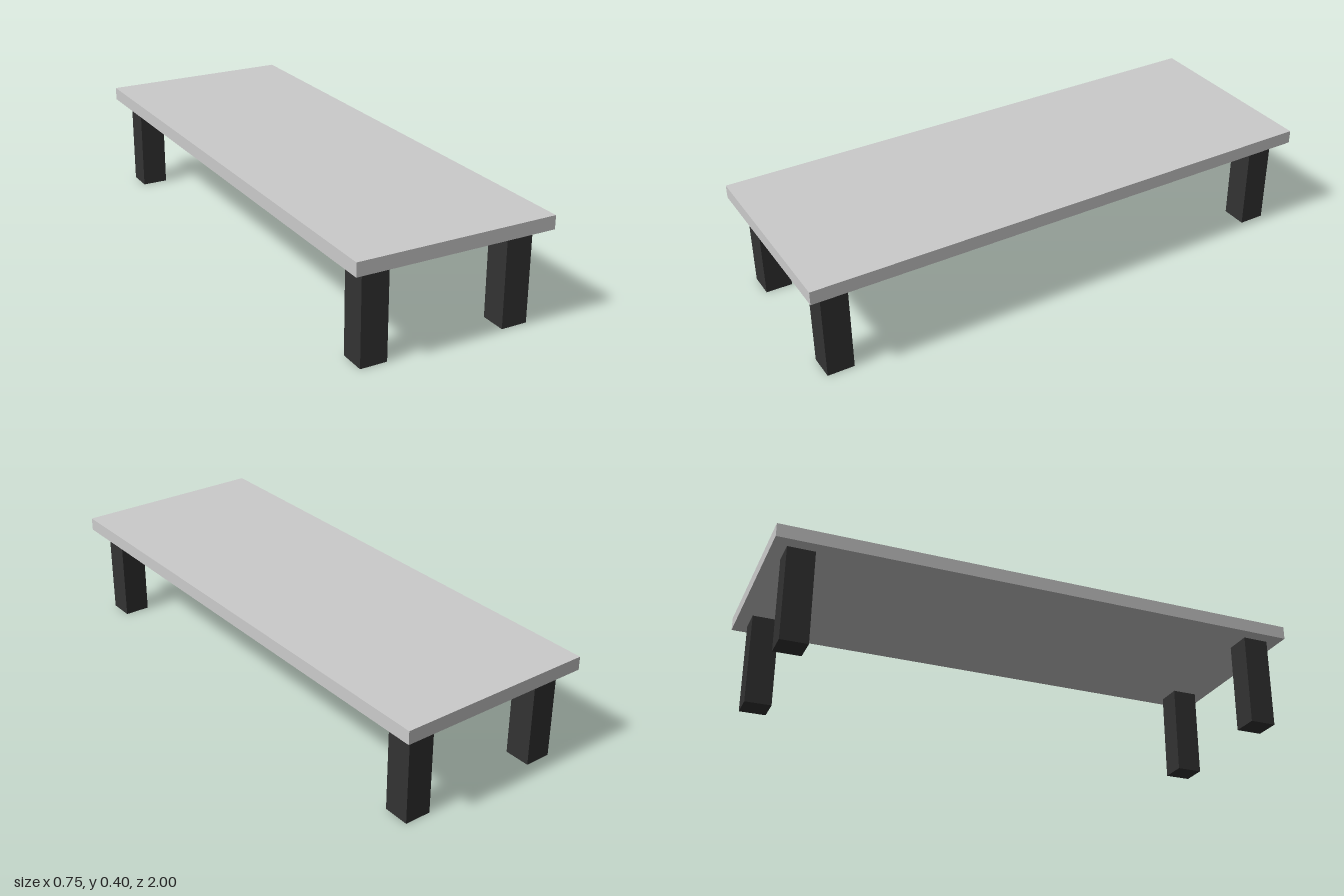
import * as THREE from 'three';

const WIDTH = 0.75, LENGTH = 2, HEIGHT = 0.4;
const THICKNESS = 0.05, LEG = 0.1, INSET = 0.05;

export function createModel() {
  const table = new THREE.Group();
  table.name = 'table';

  const topMaterial = new THREE.MeshStandardMaterial({ color: 0xcccccc });
  const legMaterial = new THREE.MeshStandardMaterial({ color: 0x333333 });

  // Flat slab top
  const top = new THREE.Mesh(new THREE.BoxGeometry(WIDTH, THICKNESS, LENGTH), topMaterial);
  top.name = 'tableTop';
  top.position.y = HEIGHT - THICKNESS / 2;
  table.add(top);

  // Four square legs, set in from the corners
  const legHeight = HEIGHT - THICKNESS;
  const legGeometry = new THREE.BoxGeometry(LEG, legHeight, LEG);
  const legX = WIDTH / 2 - INSET - LEG / 2;
  const legZ = LENGTH / 2 - INSET - LEG / 2;
  for (const [endName, zSide] of [['front', 1], ['back', -1]]) {
    for (const [sideName, xSide] of [['Left', 1], ['Right', -1]]) {
      const leg = new THREE.Mesh(legGeometry, legMaterial);
      leg.name = `${endName}${sideName}Leg`;
      leg.position.set(xSide * legX, legHeight / 2, zSide * legZ);
      table.add(leg);
    }
  }

  return table;
}
